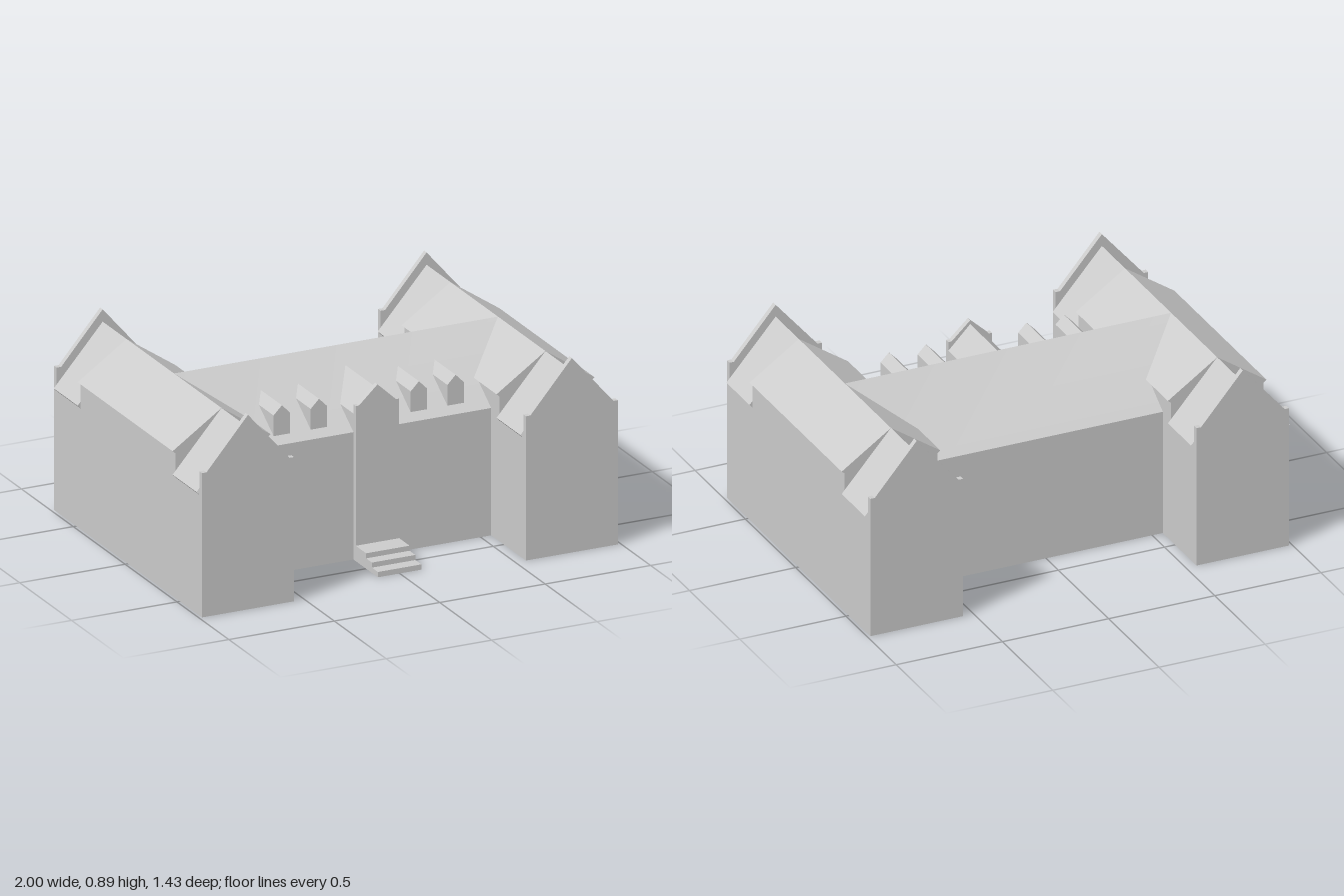
import * as THREE from 'three';

const material = new THREE.MeshStandardMaterial({ color: 0xcccccc, side: THREE.DoubleSide });

function mesh(geometry, name, parent) {
  const m = new THREE.Mesh(geometry, material);
  m.name = name;
  parent.add(m);
  return m;
}

// Open shell: a profile of [x, y, z0, z1] points swept along z (z0, z1 fall back to -half, half)
function shell(points, half = 0, smooth = false) {
  const pos = [], index = [];
  points.forEach(([x, y, z0 = -half, z1 = half], i) => {
    pos.push(x, y, z0, x, y, z1);
    if (i) {
      const a = 2 * i - 2;
      index.push(a, a + 1, a + 3, a, a + 3, a + 2);
    }
  });
  let g = new THREE.BufferGeometry();
  g.setAttribute('position', new THREE.Float32BufferAttribute(pos, 3));
  g.setIndex(index);
  if (!smooth) g = g.toNonIndexed();
  g.computeVertexNormals();
  return g;
}

const outline = (points) => new THREE.Shape(points.map(([x, y]) => new THREE.Vector2(x, y)));
const face = (points, z) => new THREE.ShapeGeometry(outline(points)).translate(0, 0, z);
const slab = (points, z, depth) =>
  new THREE.ExtrudeGeometry(outline(points), { depth, bevelEnabled: false }).translate(0, 0, z);

// Completes a profile, given from the left edge to the middle, with its mirror image
const mirrored = (left) => [
  ...left,
  ...left.filter(([x]) => x !== 0).reverse().map(([x, ...rest]) => [-x, ...rest]),
];

function createWing() {
  const wing = new THREE.Group();
  const w = 0.218, eave = 0.232, ridge = 0.83, end = 0.688, mid = 0.458;

  // Long side walls
  for (const s of [-1, 1]) {
    const wall = s < 0 ? [[-w, 0], [-w, 0.55]] : [[w, 0.55], [w, 0]];
    mesh(shell(wall, end), 'wingSideWall', wing);
  }

  // Shallow roof over the middle
  mesh(shell(mirrored([[-w, 0.55], [-w, 0.66], [-eave, 0.672], [0, ridge]]), mid), 'wingMiddleRoof', wing);

  for (const s of [-1, 1]) {
    // Steeper roof with lower eaves at each end
    const z0 = s < 0 ? -end : mid, z1 = s < 0 ? -mid : end;
    const steep = [[-w, 0.55, z0, z1], [-eave, 0.565, z0, z1], [0, ridge, z0, z1]];
    mesh(shell(mirrored(steep)), 'wingEndRoof', wing);

    // Cheeks closing the step between the two pitches
    for (const side of [-1, 1]) {
      const cheek = [[0, ridge], [eave, 0.672], [w, 0.66], [w, 0.579]].map(([x, y]) => [x * side, y]);
      mesh(face(cheek, s * mid), 'roofCheek', wing);
    }

    // Raised gable wall with flat shoulders
    const gable = mirrored([[-w, 0], [-w, 0.657], [-0.197, 0.657], [0, 0.886]]);
    mesh(slab(gable, s < 0 ? -0.713 : end, 0.025), 'gableWall', wing);
  }
  return wing;
}

function createMainBlock() {
  const block = new THREE.Group();
  block.name = 'mainBlock';
  const d = 0.378, top = 0.58;
  mesh(shell([[-d, 0], [-d, top]], 0.55), 'backWall', block);
  mesh(shell([[d, top], [d, 0]], 0.55), 'frontWall', block);
  // Roof whose ridge runs into the ridges of the wings
  mesh(shell(mirrored([[-d, top, -0.55, 0.55], [0, 0.83, -0.768, 0.768]]), 0, true), 'mainRoof', block);
  block.rotation.y = -Math.PI / 2;
  return block;
}

function createEntrance() {
  const entrance = new THREE.Group();
  entrance.name = 'entrance';
  const w = 0.103, back = 0.05, front = 0.376;
  const body = mirrored([[-w, 0, back, front], [-w, 0.665, back, front], [0, 0.77, back, front]]);
  mesh(shell(body), 'entranceBody', entrance);
  mesh(face(body, back), 'entranceBack', entrance);
  const gable = mirrored([[-w, 0], [-w, 0.706], [-0.088, 0.706], [0, 0.788]]);
  mesh(slab(gable, front, 0.024), 'entranceGable', entrance);

  // Three steps, drawn in side profile and swept across the doorway
  const stairs = new THREE.Group();
  stairs.name = 'steps';
  const profile = [[0.4, 0.07], [0.5, 0.07], [0.5, 0.047], [0.556, 0.047], [0.556, 0.024], [0.614, 0.024], [0.614, 0]];
  mesh(shell(profile, w), 'stepTreads', stairs);
  for (const s of [-1, 1]) mesh(face([[0.4, 0], ...profile], s * w), 'stepSide', stairs);
  stairs.rotation.y = -Math.PI / 2;
  entrance.add(stairs);
  return entrance;
}

function createDormer() {
  const dormer = new THREE.Group();
  dormer.name = 'dormer';
  const w = 0.039, front = 0.336;
  // Each point runs back until it meets the main roof
  const profile = mirrored([[-w, 0.605, front, front], [-w, 0.702, 0.194, front], [0, 0.742, 0.133, front]]);
  mesh(shell(profile), 'dormerShell', dormer);
  mesh(face(profile, front), 'dormerFront', dormer);
  return dormer;
}

export function createModel() {
  const model = new THREE.Group();
  model.name = 'house';
  for (const s of [-1, 1]) {
    const wing = createWing();
    wing.name = s > 0 ? 'leftWing' : 'rightWing';
    wing.position.x = s * 0.768;
    model.add(wing);
  }
  model.add(createMainBlock(), createEntrance());
  for (const x of [-0.422, -0.246, 0.228, 0.402]) {
    const dormer = createDormer();
    dormer.position.x = x;
    model.add(dormer);
  }
  return model;
}
